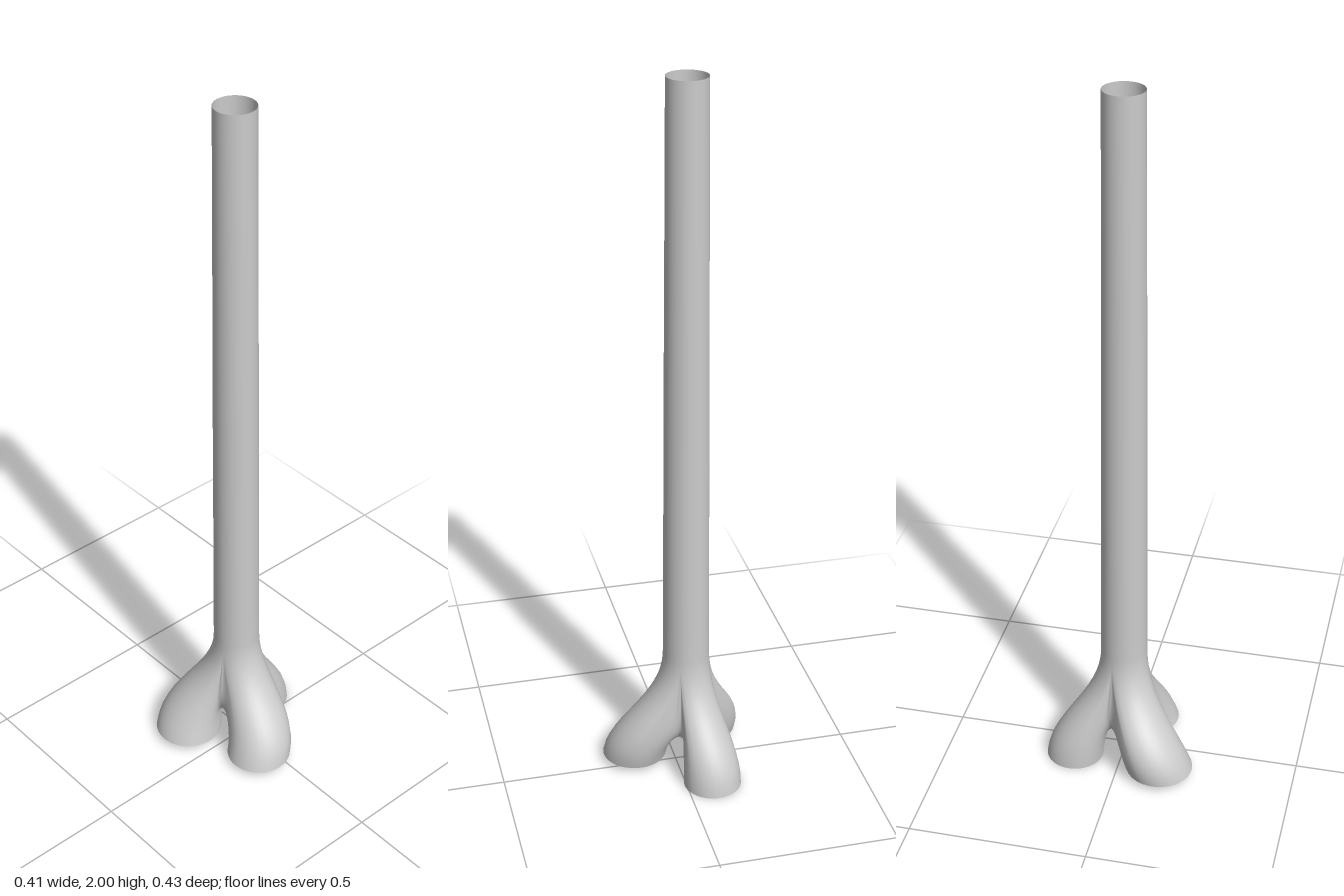
import * as THREE from 'three';
import { mergeVertices } from 'three/addons/utils/BufferGeometryUtils.js';

const V = (x, y, z) => new THREE.Vector3(x, y, z);
const RAD = Math.PI / 180;
const CX = -0.03;          // trunk axis
const ARC = 12, SEAM = 12, ROWS = 14;

// Each leg owns a sector of the trunk (from..to, degrees) and ends in an open round foot
const LEGS = [
  { from: -63, to: 77, foot: V(0.112, 0.02, 0.04), r: 0.091, knee: V(-0.01, 0, -0.04) },
  { from: 77, to: 199, foot: V(-0.108, 0.02, 0.12), r: 0.095, knee: V(-0.02, 0, -0.04) },
  { from: 199, to: 297, foot: V(-0.075, 0, -0.135), r: 0.081, knee: V(0, 0, 0.01) },
];

// Point on the trunk's polar grid
const polar = (r, y, deg) => V(CX + r * Math.cos(deg * RAD), y, r * Math.sin(deg * RAD));

// Seam between two legs: runs down the outside of the trunk, then in to the crotch
const seamCurve = (deg) => new THREE.CubicBezierCurve3(
  polar(0.065, 0.36, deg), polar(0.066, 0.22, deg), polar(0.13, 0.06, deg), polar(0, 0.125, deg));

// Adds a grid of quads; rows run downwards, columns run round the tube
function addGrid(out, rows, closed) {
  const n = rows[0].length;
  for (let j = 0; j < rows.length - 1; j++) {
    for (let i = 0; i < (closed ? n : n - 1); i++) {
      const k = (i + 1) % n;
      const a = rows[j][i], b = rows[j][k], c = rows[j + 1][i], d = rows[j + 1][k];
      for (const p of [a, b, c, b, d, c]) out.push(p.x, p.y, p.z);
    }
  }
}

// Closed outline where a leg leaves the trunk: outer arc, down one seam, up the other
function legCurves({ from, to, foot, r, knee }) {
  const phi = Math.atan2(foot.z, foot.x - CX);
  const curves = [];
  const add = (p, s, side, footAngle) => {
    const end = V(foot.x + r * Math.cos(footAngle), foot.y, foot.z + r * Math.sin(footAngle));
    const h = p.y - foot.y;
    const p1 = p.clone().addScaledVector(side, 0.04 * s);
    p1.y -= 0.45 * h * (1 - s);
    const p2 = end.clone().addScaledVector(knee, h / 0.34);
    p2.y += 0.36 * h;
    curves.push(new THREE.CubicBezierCurve3(p, p1, p2, end));
  };
  const spread = 75 * RAD;
  const footTurn = (s) => spread + (Math.PI - spread) * s;
  const legDir = V(Math.cos(phi), 0, Math.sin(phi));
  const sideTo = V(Math.sin(to * RAD), 0, -Math.cos(to * RAD));
  const sideFrom = V(-Math.sin(from * RAD), 0, Math.cos(from * RAD));
  const seamTo = seamCurve(to), seamFrom = seamCurve(from);
  for (let i = 0; i <= ARC; i++) {
    const t = i / ARC;
    add(polar(0.065, 0.36, from + (to - from) * t), 0, legDir, phi + spread * (2 * t - 1));
  }
  for (let k = 1; k <= SEAM; k++) {
    const s = k / SEAM;
    add(seamTo.getPoint(s), s, k === SEAM ? legDir : sideTo, phi + footTurn(s));
  }
  for (let k = SEAM - 1; k >= 1; k--) {
    const s = k / SEAM;
    add(seamFrom.getPoint(s), s, sideFrom, phi - footTurn(s));
  }
  return curves;
}

export function createModel() {
  const pos = [];
  // Tapering hollow trunk, open at the top
  const profile = [[0.055, 2], [0.0575, 1.6], [0.061, 1.1], [0.063, 0.7], [0.0645, 0.45], [0.065, 0.36]];
  for (const leg of LEGS) {
    const rows = profile.map(([r, y]) => Array.from({ length: ARC + 1 },
      (_, i) => polar(r, y, leg.from + (leg.to - leg.from) * i / ARC)));
    addGrid(pos, rows, false);
    // Flaring hollow leg
    const curves = legCurves(leg);
    const legRows = Array.from({ length: ROWS + 1 }, (_, j) => curves.map((c) => c.getPoint(j / ROWS)));
    addGrid(pos, legRows, true);
  }
  let geometry = new THREE.BufferGeometry();
  geometry.setAttribute('position', new THREE.Float32BufferAttribute(pos, 3));
  geometry = mergeVertices(geometry, 1e-4);
  geometry.computeVertexNormals();

  const mesh = new THREE.Mesh(geometry,
    new THREE.MeshStandardMaterial({ color: 0xcccccc, side: THREE.DoubleSide }));
  mesh.name = 'hollowTrunkWithThreeLegs';
  const group = new THREE.Group();
  group.name = 'branchingTube';
  group.add(mesh);
  return group;
}
